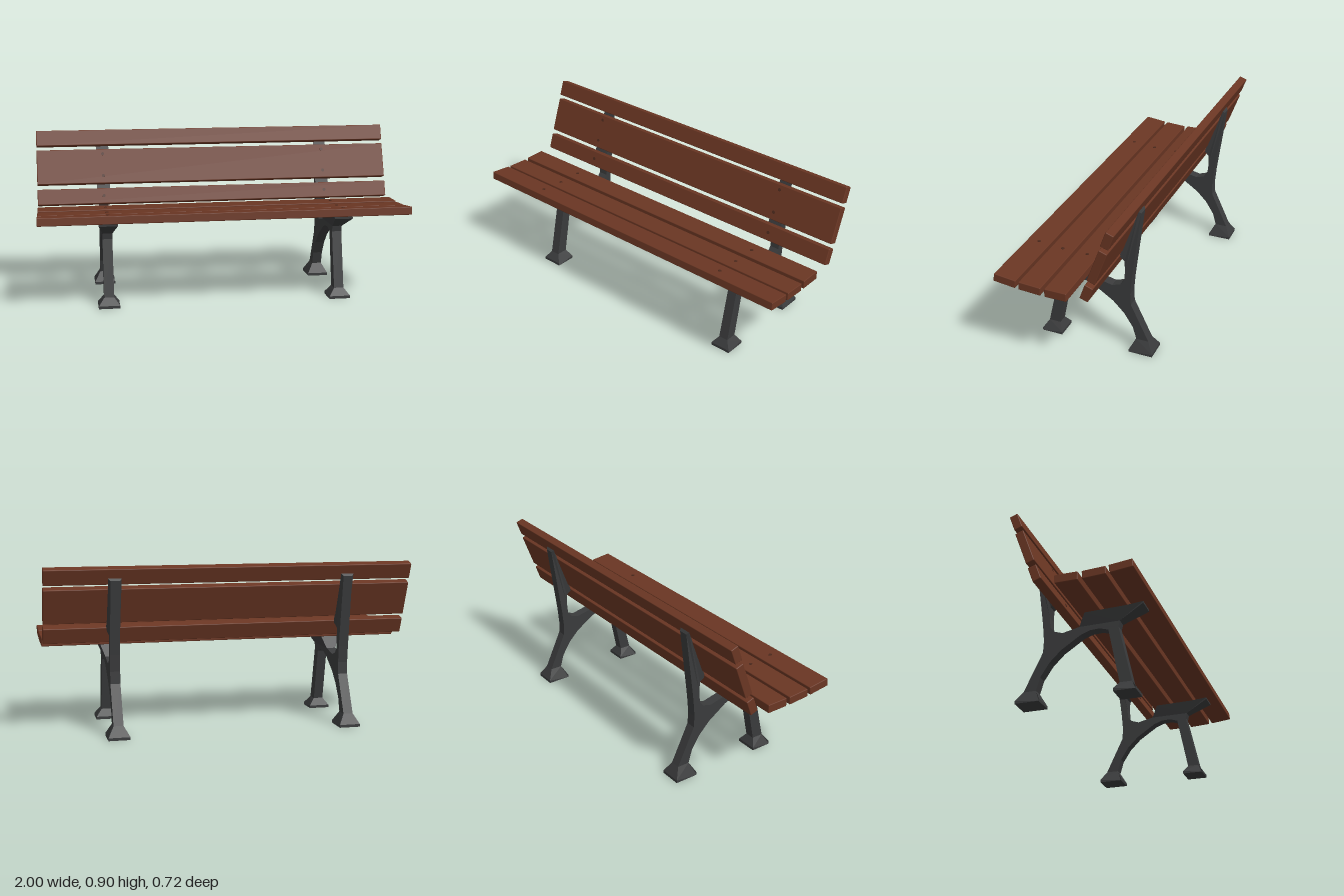
import * as THREE from 'three';
import { RoundedBoxGeometry } from 'three/addons/geometries/RoundedBoxGeometry.js';

const WEB = 0.053; // thickness of the plain cast iron web

// Extrudes a side profile of [z, y, width] points; each point has its own width along x
function castPart(name, points, material) {
  const shape = new THREE.Shape(points.map(([z, y]) => new THREE.Vector2(z, y)));
  const geometry = new THREE.ExtrudeGeometry(shape, { depth: 1, bevelEnabled: false });
  geometry.translate(0, 0, -0.5).rotateY(-Math.PI / 2);
  const pos = geometry.attributes.position;
  for (let i = 0; i < pos.count; i++) {
    const p = points.find(([z, y]) => Math.abs(z - pos.getZ(i)) < 1e-4 && Math.abs(y - pos.getY(i)) < 1e-4);
    pos.setX(i, pos.getX(i) * (p[2] ?? WEB));
  }
  geometry.computeVertexNormals();
  const mesh = new THREE.Mesh(geometry, material);
  mesh.name = name;
  return mesh;
}

function createSideFrame(iron) {
  const frame = new THREE.Group();

  // Front leg, arch under the seat and curved rear leg
  frame.add(castPart('legs', [
    [0.243, 0.055], [0.173, 0.36], [0.18, 0.392], [-0.035, 0.39], [-0.125, 0.37],
    [-0.17, 0.385], [-0.192, 0.412], [-0.197, 0.47], [-0.238, 0.47], [-0.233, 0.43],
    [-0.225, 0.34], [-0.228, 0.275], [-0.325, 0.07], [-0.258, 0.07], [-0.238, 0.14],
    [-0.19, 0.215], [-0.13, 0.275], [-0.025, 0.345], [0.02, 0.362], [0.075, 0.365],
    [0.12, 0.35], [0.18, 0.055],
  ], iron));

  // Bracket flaring out to carry the seat slats
  frame.add(castPart('seatBracket', [
    [0.18, 0.392], [0.31, 0.458, 0.1], [0.31, 0.468, 0.1], [0.22, 0.46, 0.1],
    [0, 0.455, 0.1], [-0.035, 0.39],
  ], iron));

  // Tapered upright, wider along its front edge
  frame.add(castPart('backUpright', [
    [-0.197, 0.47], [-0.195, 0.53], [-0.172, 0.56, 0.075], [-0.275, 0.835, 0.07],
    [-0.285, 0.823, 0.05], [-0.238, 0.47],
  ], iron));

  // Splayed feet
  const foot = 0.115;
  frame.add(castPart('frontFoot', [
    [0.27, 0, foot], [0.27, 0.015, foot], [0.243, 0.055], [0.18, 0.055],
    [0.157, 0.015, foot], [0.157, 0, foot],
  ], iron));
  frame.add(castPart('rearFoot', [
    [-0.228, 0, foot], [-0.228, 0.015, foot], [-0.258, 0.07], [-0.325, 0.07],
    [-0.357, 0.015, foot], [-0.357, 0, foot],
  ], iron));
  return frame;
}

export function createModel() {
  const iron = new THREE.MeshStandardMaterial({ color: 0x3a3b3c });
  iron.name = 'castIron';
  const wood = new THREE.MeshStandardMaterial({ color: 0x6a3623 });
  wood.name = 'stainedWood';
  const boltMaterial = new THREE.MeshStandardMaterial({ color: 0x4c291c });
  boltMaterial.name = 'darkBolt';

  const bench = new THREE.Group();
  bench.name = 'bench';
  const frameX = 0.633;

  for (const side of [-1, 1]) {
    const frame = createSideFrame(iron);
    frame.name = side > 0 ? 'leftFrame' : 'rightFrame';
    frame.position.x = side * frameX;
    bench.add(frame);
  }

  // Slats: name, centre y and z, height, depth, tilt, bolt offsets across the slat
  const slats = [
    ['frontSeatSlat', 0.495, 0.299, 0.044, 0.12, -0.115, [0]],
    ['middleSeatSlat', 0.483, 0.163, 0.044, 0.12, -0.055, [0]],
    ['rearSeatSlat', 0.481, 0.023, 0.046, 0.118, 0, [0]],
    ['lowerBackSlat', 0.535, -0.143, 0.087, 0.045, -0.35, [0]],
    ['middleBackSlat', 0.694, -0.201, 0.195, 0.045, -0.35, [-0.055, 0.07]],
    ['topBackSlat', 0.85, -0.255, 0.087, 0.044, -0.35, []],
  ];
  const boltGeometry = new THREE.CylinderGeometry(0.009, 0.009, 0.004, 10);
  for (const [name, y, z, height, depth, tilt, bolts] of slats) {
    const slat = new THREE.Group();
    slat.name = name;
    slat.position.set(0, y, z);
    slat.rotation.x = tilt;
    const board = new THREE.Mesh(new RoundedBoxGeometry(2, height, depth, 2, 0.004), wood);
    board.name = 'board';
    slat.add(board);

    // Bolt heads nearly flush with the sitting face
    const upright = height > depth;
    for (const side of [-1, 1]) {
      for (const offset of bolts) {
        const bolt = new THREE.Mesh(boltGeometry, boltMaterial);
        bolt.name = 'bolt';
        if (upright) {
          bolt.rotation.x = Math.PI / 2;
          bolt.position.set(side * frameX, offset, depth / 2);
        } else {
          bolt.position.set(side * frameX, height / 2, offset);
        }
        slat.add(bolt);
      }
    }
    bench.add(slat);
  }
  return bench;
}
